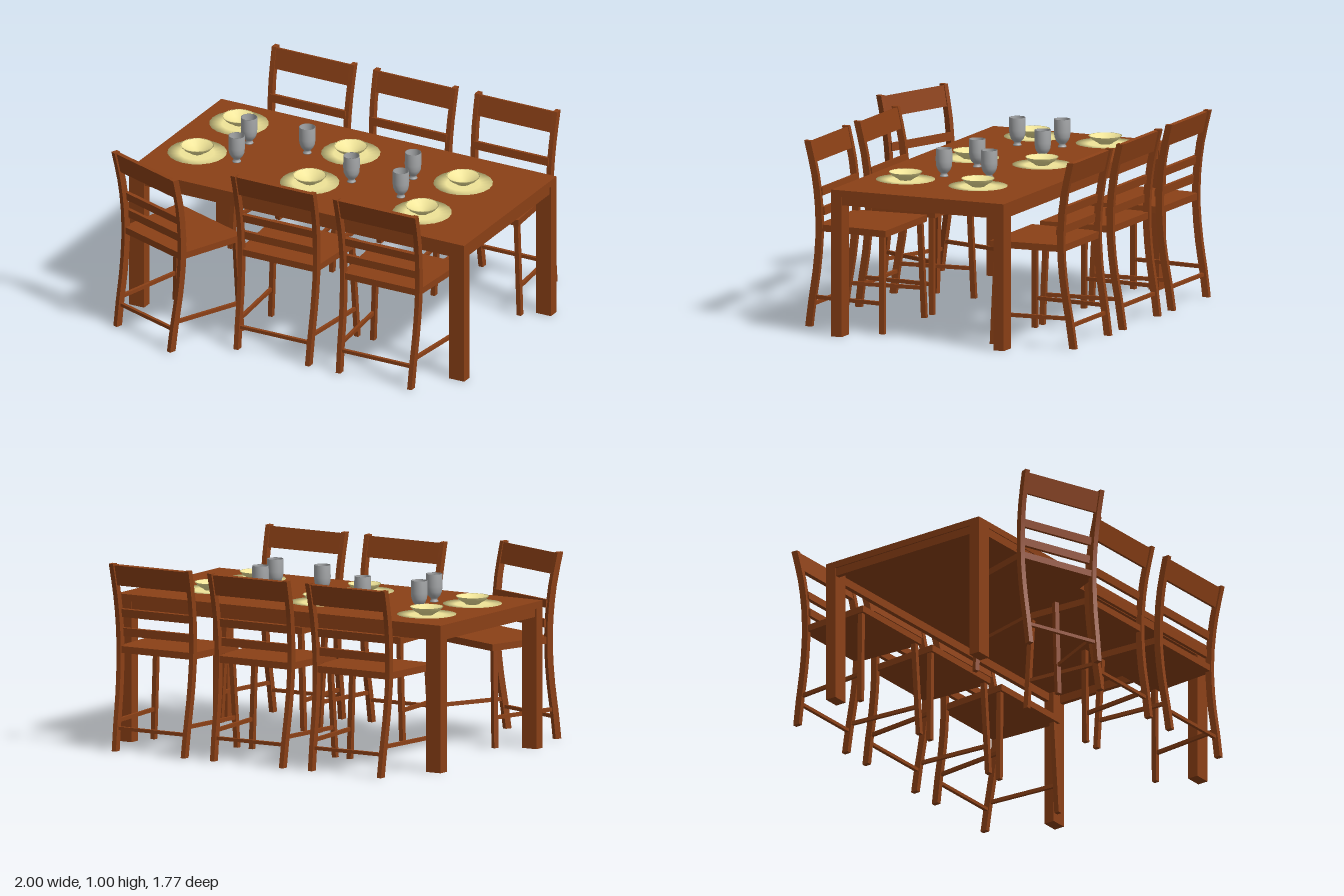
import * as THREE from 'three';

const wood = new THREE.MeshStandardMaterial({ color: 0x8b4016 });
const cream = new THREE.MeshStandardMaterial({ color: 0xf0e498, side: THREE.DoubleSide });
const grey = new THREE.MeshStandardMaterial({ color: 0xa4a6a8, side: THREE.DoubleSide });

function add(parent, name, geometry, material, x = 0, y = 0, z = 0) {
  const mesh = new THREE.Mesh(geometry, material);
  mesh.name = name;
  mesh.position.set(x, y, z);
  parent.add(mesh);
  return mesh;
}

function box(parent, name, w, h, d, x, y, z) {
  return add(parent, name, new THREE.BoxGeometry(w, h, d), wood, x, y, z);
}

// Upright bar of rectangular section whose centre follows points listed from bottom to top
function post(parent, name, points, w, d, segments) {
  const curve = new THREE.CatmullRomCurve3(points.map((p) => new THREE.Vector3(...p)));
  const geo = new THREE.BoxGeometry(w, 1, d, 1, segments, 1);
  const pos = geo.attributes.position;
  for (let i = 0; i < pos.count; i++) {
    const c = curve.getPoint(pos.getY(i) + 0.5);
    pos.setXYZ(i, pos.getX(i) + c.x, c.y, pos.getZ(i) + c.z);
  }
  geo.computeVertexNormals();
  return add(parent, name, geo, wood);
}

// Chair facing +z, with the front edge of its seat at z = 0
function makeChair(x, z, turn) {
  const chair = new THREE.Group();
  chair.name = 'chair';

  // Seat tapering towards the back
  const seat = new THREE.BoxGeometry(0.51, 0.036, 0.405);
  const pos = seat.attributes.position;
  for (let i = 0; i < pos.count; i++) {
    if (pos.getZ(i) < 0) pos.setX(i, pos.getX(i) * 0.9);
  }
  seat.computeVertexNormals();
  add(chair, 'seat', seat, wood, 0, 0.535, -0.2025);

  for (const s of [-1, 1]) {
    post(chair, 'frontLeg', [[s * 0.257, 0.005, -0.015], [s * 0.232, 0.52, -0.028]], 0.025, 0.028, 1);
    // Curved rear leg continuing up as the back post
    post(chair, 'rearLeg', [
      [s * 0.213, 0.005, -0.458], [s * 0.216, 0.15, -0.438], [s * 0.219, 0.3, -0.413],
      [s * 0.223, 0.48, -0.395], [s * 0.226, 0.65, -0.396], [s * 0.23, 0.82, -0.415],
      [s * 0.233, 0.995, -0.455],
    ], 0.026, 0.037, 12);
    // Side stretcher running between front and rear leg
    const bar = box(chair, 'sideStretcher', 0.016, 0.02, 0.415, s * 0.233, 0.164, -0.226);
    bar.rotation.y = s * 0.09;
  }
  box(chair, 'rearStretcher', 0.43, 0.018, 0.018, 0, 0.124, -0.44);

  // Back rest
  box(chair, 'lowerSlat', 0.45, 0.043, 0.02, 0, 0.625, -0.374).rotation.x = -0.03;
  box(chair, 'middleSlat', 0.45, 0.043, 0.02, 0, 0.727, -0.386).rotation.x = -0.1;
  box(chair, 'topRail', 0.45, 0.112, 0.02, 0, 0.934, -0.437).rotation.x = -0.22;

  chair.position.set(x, 0, z);
  chair.rotation.y = turn;
  return chair;
}

function lathe(profile, sides) {
  return new THREE.LatheGeometry(profile.map((p) => new THREE.Vector2(...p)), sides);
}

function makeTable() {
  const table = new THREE.Group();
  table.name = 'table';
  const zc = -0.057;
  box(table, 'tableTop', 2, 0.036, 0.995, 0, 0.762, zc);
  for (const s of [-1, 1]) {
    for (const t of [-1, 1]) box(table, 'tableLeg', 0.09, 0.744, 0.06, s * 0.955, 0.372, zc + t * 0.4675);
    box(table, 'longApron', 1.82, 0.045, 0.025, 0, 0.722, zc + s * 0.48);
    box(table, 'endApron', 0.025, 0.045, 0.875, s * 0.98, 0.722, zc);
  }
  return table;
}

// Flat plate with a flared bowl standing on it
function makeSetting(x, z) {
  const setting = new THREE.Group();
  setting.name = 'placeSetting';
  add(setting, 'plate', lathe([[0, 0.002], [0.09, 0.002], [0.156, 0.01], [0.09, 0.006], [0, 0.006]], 20), cream);
  add(setting, 'bowl', lathe([
    [0, 0.007], [0.035, 0.007], [0.04, 0.012], [0.07, 0.03], [0.088, 0.05],
    [0.082, 0.049], [0.05, 0.028], [0.016, 0.014], [0, 0.014],
  ], 20), cream);
  setting.position.set(x, 0.78, z);
  return setting;
}

// Hollow cup on a small foot
function makeCup(x, z) {
  const profile = [
    [0, 0.001], [0.023, 0.001], [0.022, 0.006], [0.016, 0.014], [0.02, 0.022], [0.033, 0.036],
    [0.041, 0.056], [0.044, 0.085], [0.043, 0.15], [0.04, 0.15], [0.041, 0.085],
    [0.037, 0.056], [0.022, 0.032], [0, 0.026],
  ];
  return add(new THREE.Group(), 'cup', lathe(profile, 20), grey, x, 0.78, z);
}

export function createModel() {
  const model = new THREE.Group();
  model.name = 'diningSet';
  model.add(makeTable());

  // Three chairs along the back, two along the front and one pulled out at an angle
  for (const x of [-0.615, -0.01, 0.597]) model.add(makeChair(x, -0.41, 0));
  for (const x of [-0.02, 0.59]) model.add(makeChair(x, 0.2, Math.PI));
  model.add(makeChair(-0.562, 0.352, Math.PI - 0.35));

  const settings = [
    [-0.762, -0.315], [-0.072, -0.273], [0.623, -0.23],
    [-0.778, 0.107], [-0.083, 0.15], [0.612, 0.193],
  ];
  for (const [x, z] of settings) model.add(makeSetting(x, z));

  const cups = [
    [-0.605, -0.14], [-0.28, -0.18], [0.357, -0.17],
    [-0.55, 0.093], [0.096, 0.022], [0.414, 0.064],
  ];
  for (const [x, z] of cups) model.add(makeCup(x, z));
  return model;
}
